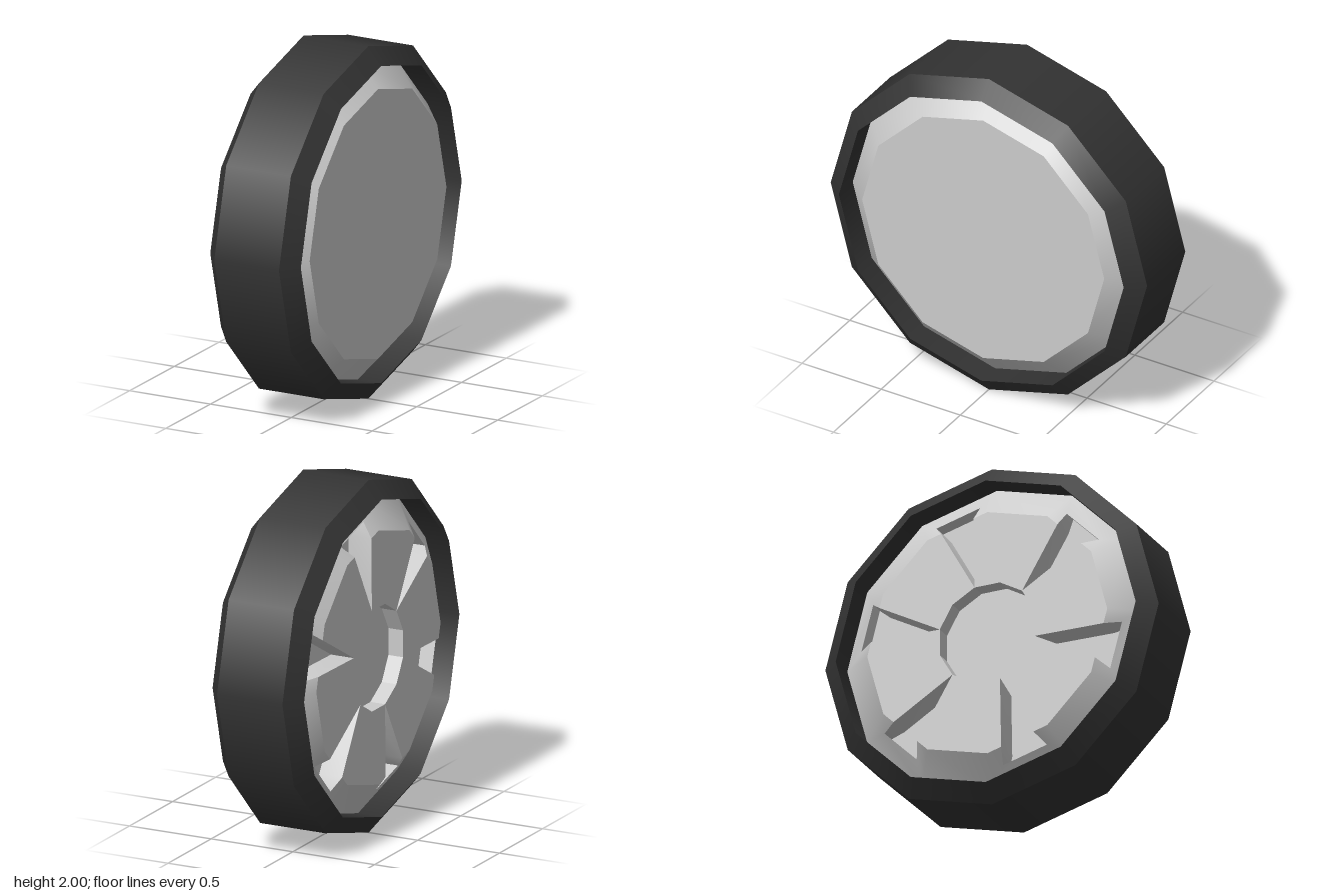
import * as THREE from 'three';
import { mergeGeometries, toCreasedNormals } from 'three/addons/utils/BufferGeometryUtils.js';

const SIDES = 12;
const rubber = new THREE.MeshStandardMaterial({ color: 0x333333, side: THREE.DoubleSide });
const metal = new THREE.MeshStandardMaterial({ color: 0xcccccc, side: THREE.DoubleSide });

// Turned surface about the x axis from [radius, x] points, with a hard edge at each point
function turned(profile) {
  const bands = [];
  for (let i = 0; i < profile.length - 1; i++) {
    const pair = [profile[i], profile[i + 1]].map(([r, x]) => new THREE.Vector2(r, x));
    bands.push(new THREE.LatheGeometry(pair, SIDES));
  }
  return mergeGeometries(bands).rotateZ(-Math.PI / 2).translate(0, 1, 0);
}

// Spoked face on the -x side: six wedge pockets around a recessed hub
function spokedFace() {
  const FACE = 0.26, FLOOR = 0.12, HUB_FLOOR = 0.17;
  const pos = [];
  const at = (r, deg, x) => {
    const a = THREE.MathUtils.degToRad(deg);
    return [-x, 1 + r * Math.sin(a), -r * Math.cos(a)];
  };
  // Convex polygon, split into a fan from its first corner
  const poly = (...p) => {
    for (let i = 1; i < p.length - 1; i++) pos.push(...p[0], ...p[i], ...p[i + 1]);
  };
  const chord = (r, deg) => r * Math.cos(Math.PI / 12) / Math.cos(deg * Math.PI / 180);

  for (let k = 0; k < 6; k++) {
    const c = 15 + 60 * k;
    const hub = (d, x = FACE) => at(0.295, c + d, x);
    const ring = (d) => at(0.72, c + d, FACE);
    const rim = (d) => at(0.9, c + d, 0.135);
    const inner = (s, x = FACE, turn = 0) => at(chord(0.72, 8.2), c + turn + s * 8.2, x);
    const outer = (s, x = 0.204) => at(chord(0.8, 10), c + s * 10, x);

    // spoke top
    poly(hub(30), hub(0), inner(1), ring(15), ring(45), inner(-1, FACE, 60), hub(60));
    // sloped shoulder, cut around the pocket
    poly(ring(45), ring(15), rim(15), rim(45));
    poly(ring(15), inner(1), outer(1), rim(15));
    poly(outer(1), outer(-1), rim(-15), rim(15));
    poly(inner(-1), ring(-15), rim(-15), outer(-1));
    // pocket walls and floor
    const top = [hub(0), inner(1), outer(1), outer(-1), inner(-1)];
    const low = [hub(0, FLOOR), inner(1, FLOOR), outer(1, FLOOR), outer(-1, FLOOR), inner(-1, FLOOR)];
    for (let i = 0; i < 5; i++) {
      const j = (i + 1) % 5;
      poly(top[i], top[j], low[j], low[i]);
    }
    poly(...low.slice().reverse());
    // recessed hub walls and floor
    for (const d of [0, 30]) {
      poly(hub(d + 30), hub(d + 30, HUB_FLOOR), hub(d, HUB_FLOOR), hub(d));
      poly(at(0, 0, HUB_FLOOR), hub(d + 30, HUB_FLOOR), hub(d, HUB_FLOOR));
    }
  }
  // the pocket floor listing above runs clockwise seen from -x like the other faces
  const geo = new THREE.BufferGeometry();
  geo.setAttribute('position', new THREE.Float32BufferAttribute(pos, 3));
  geo.computeVertexNormals();
  return toCreasedNormals(geo, 0.5);
}

export function createModel() {
  const group = new THREE.Group();
  const add = (name, geometry, material) => {
    const mesh = new THREE.Mesh(geometry, material);
    mesh.name = name;
    group.add(mesh);
  };

  // chamfered tyre with a straight inner bore
  add('tyre', turned([[0.9, -0.28], [1, -0.2], [1, 0.2], [0.9, 0.28], [0.9, -0.28]]), rubber);
  // plain domed cover on the +x side
  add('cover', turned([[0.9, 0.135], [0.765, 0.26], [0, 0.26]]), metal);
  add('spokedFace', spokedFace(), metal);
  return group;
}
